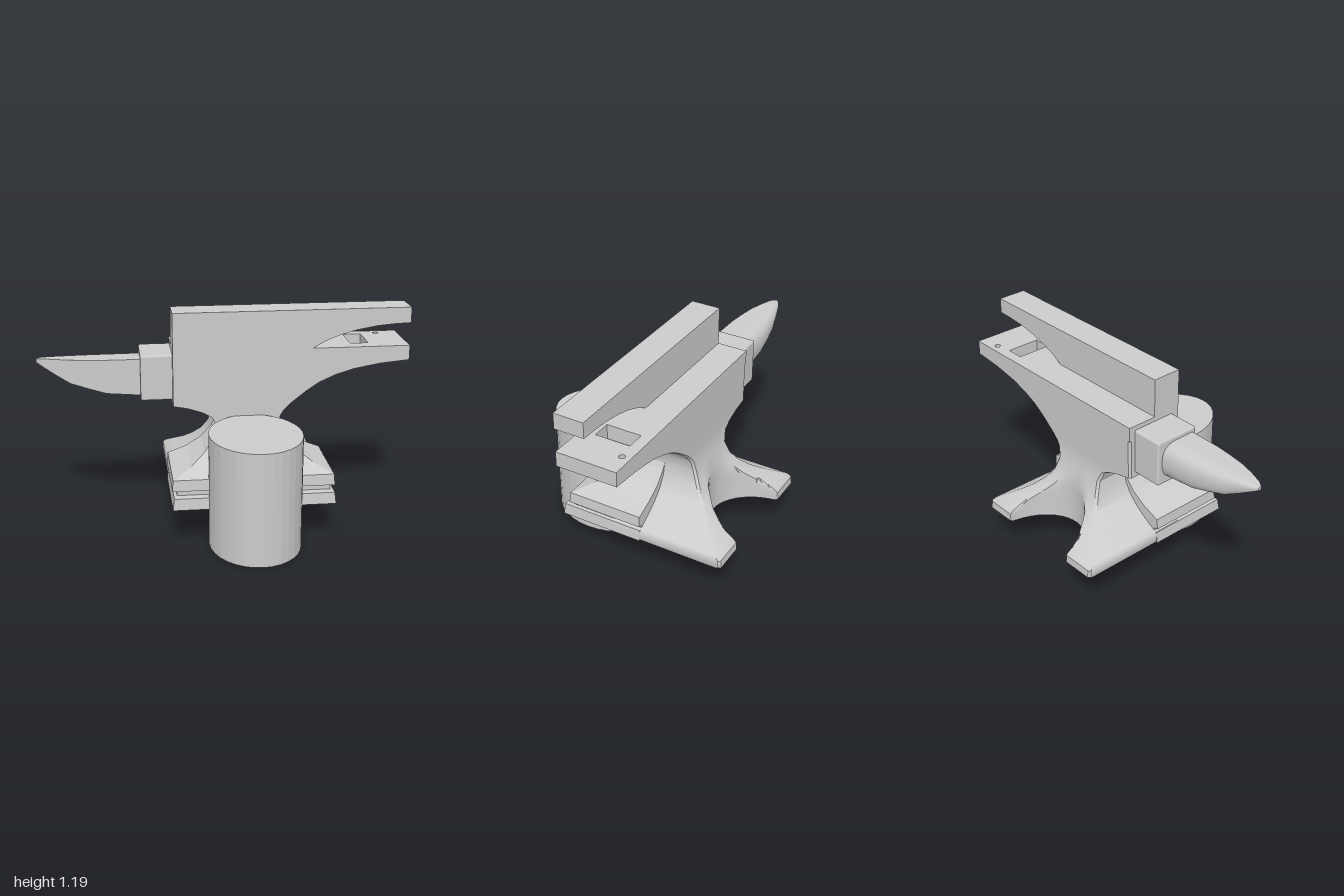
import * as THREE from 'three';
import { toCreasedNormals } from 'three/addons/utils/BufferGeometryUtils.js';
import { RoundedBoxGeometry } from 'three/addons/geometries/RoundedBoxGeometry.js';

const smooth = new THREE.MeshStandardMaterial({ color: 0xcccccc });
const faceted = new THREE.MeshStandardMaterial({ color: 0xcccccc, flatShading: true });

function part(name, geometry, material = smooth) {
  const mesh = new THREE.Mesh(geometry, material);
  mesh.name = name;
  return mesh;
}

// Skin rings of points, counter-clockwise about the loft direction, and cap both ends
function loft(rings, flatten, crease = 0.6) {
  const n = rings[0].length, index = [];
  for (let r = 0; r < rings.length - 1; r++) {
    for (let i = 0; i < n; i++) {
      const j = (i + 1) % n, a = r * n, b = a + n;
      index.push(a + i, a + j, b + j, a + i, b + j, b + i);
    }
  }
  const last = (rings.length - 1) * n;
  const cap = (ring) => THREE.ShapeUtils.triangulateShape(ring.map(flatten), []);
  cap(rings[0]).forEach(([a, b, c]) => index.push(a, c, b));
  cap(rings[rings.length - 1]).forEach(([a, b, c]) => index.push(last + a, last + b, last + c));
  const geometry = new THREE.BufferGeometry();
  geometry.setAttribute('position', new THREE.Float32BufferAttribute(rings.flat(2), 3));
  geometry.setIndex(index);
  return toCreasedNormals(geometry, crease);
}
const fromAbove = ([x, , z]) => new THREE.Vector2(x, -z);
const fromEnd = ([, y, z]) => new THREE.Vector2(y, z);

// Back foot, waist and underside of the heel, with an elliptical bite in the foot
function bodyGeometry() {
  const levels = [ // y, left x, right x, back z
    [0.21, -0.3, 0.545, -0.6], [0.22, -0.305, 0.55, -0.615], [0.26, -0.305, 0.55, -0.61],
    [0.275, -0.295, 0.54, -0.595], [0.3, -0.25, 0.495, -0.55], [0.33, -0.2, 0.445, -0.495],
    [0.37, -0.145, 0.39, -0.44], [0.42, -0.095, 0.34, -0.39], [0.48, -0.06, 0.305, -0.35],
    [0.55, -0.045, 0.29, -0.323], [0.61, -0.07, 0.3, -0.313], [0.64, -0.125, 0.32, -0.31],
    [0.665, -0.2, 0.345, -0.31], [0.68, -0.28, 0.36, -0.31], [0.74, -0.28, 0.435, -0.31],
    [0.79, -0.28, 0.51, -0.31], [0.83, -0.28, 0.6, -0.31], [0.86, -0.28, 0.7, -0.31],
    [0.885, -0.28, 0.84, -0.31], [0.9, -0.28, 1, -0.31],
  ];
  const bite = (x) => {
    const u = (x - 0.125) / 0.245;
    return Math.abs(u) < 1 ? -0.65 + 0.305 * Math.sqrt(1 - u * u) : -9;
  };
  const rings = levels.map(([y, xl, xr, zb]) => {
    const inset = 0.12 * (xr - xl), r = 0.012;
    const a = Math.max(-0.12, xl + inset), b = Math.min(0.37, xr - inset);
    const ring = [[xl, y, 0.02], [xr, y, 0.02], [xr, y, zb + r], [xr - r, y, zb]];
    for (let i = 0; i <= 24; i++) {
      const x = (a + b) / 2 + (b - a) / 2 * Math.cos(Math.PI * i / 24);
      ring.push([x, y, Math.max(zb, bite(x))]);
    }
    ring.push([xl + r, y, zb], [xl, y, zb + r]);
    return ring;
  });
  return loft(rings, fromAbove);
}

// Stepped front foot with a concave pyramid above
function frontFootGeometry() {
  const levels = [ // y, left x, right x, front z
    [0.21, -0.31, 0.555, 0.328], [0.272, -0.302, 0.548, 0.322], [0.275, -0.285, 0.53, 0.28],
    [0.297, -0.285, 0.53, 0.28], [0.3, -0.31, 0.555, 0.288], [0.36, -0.305, 0.55, 0.283],
    [0.4, -0.2, 0.45, 0.19], [0.45, -0.12, 0.365, 0.11], [0.51, -0.065, 0.31, 0.05],
    [0.555, -0.04, 0.285, 0.01],
  ];
  return loft(levels.map(([y, xl, xr, zf]) =>
    [[xl, y, zf], [xr, y, zf], [xr, y, -0.143], [xl, y, -0.143]]), fromAbove, 0.1);
}

// Tapering horn: rounded behind, flat in front
function hornGeometry() {
  const sections = [ // x, bottom y, top y, front depth, back depth
    [-1, 0.905, 0.925, 0.006, 0.012], [-0.97, 0.888, 0.929, 0.025, 0.03],
    [-0.9, 0.845, 0.93, 0.05, 0.05], [-0.82, 0.8, 0.93, 0.073, 0.07],
    [-0.72, 0.77, 0.93, 0.088, 0.087], [-0.63, 0.745, 0.93, 0.097, 0.096],
    [-0.44, 0.73, 0.93, 0.1, 0.105],
  ];
  const bend = (v) => Math.sign(v) * Math.pow(Math.abs(v), 0.75);
  return loft(sections.map(([x, y0, y1, zf, zb]) => {
    const ring = [[x, y1, -0.145 + zf], [x, y0, -0.145 + zf]];
    for (let i = 0; i <= 12; i++) {
      const t = Math.PI * i / 12;
      ring.push([x, (y0 + y1) / 2 - (y1 - y0) / 2 * bend(Math.cos(t)), -0.145 - zb * bend(Math.sin(t))]);
    }
    return ring;
  }), fromEnd);
}

const rectangle = (Kind, x0, y0, x1, y1) =>
  new Kind([[x0, y0], [x1, y0], [x1, y1], [x0, y1]].map(([x, y]) => new THREE.Vector2(x, y)));

// Face slab with the square and round tool holes
function faceGeometry() {
  const slab = rectangle(THREE.Shape, -0.28, -0.02, 1, 0.31);
  slab.holes.push(rectangle(THREE.Path, 0.69, 0.06, 0.79, 0.25));
  slab.holes.push(new THREE.Path().absarc(0.88, 0.265, 0.016, 0, Math.PI * 2, true));
  return new THREE.ExtrudeGeometry(slab, { depth: 0.08, bevelEnabled: false, curveSegments: 12 })
    .rotateX(-Math.PI / 2).translate(0, 0.9, 0);
}

// Raised half of the face, arched clear of the heel
function upperBarGeometry() {
  const outline = [[-0.28, 0.98], [0.47, 0.98], [0.54, 1.018], [0.62, 1.05], [0.71, 1.075],
    [0.82, 1.094], [0.92, 1.102], [1, 1.105], [1, 1.19], [-0.28, 1.19]];
  const shape = new THREE.Shape(outline.map(([x, y]) => new THREE.Vector2(x, y)));
  return new THREE.ExtrudeGeometry(shape, { depth: 0.163, bevelEnabled: false }).translate(0, 0, -0.143);
}

export function createModel() {
  const model = new THREE.Group();
  model.name = 'anvil';
  model.add(part('body', bodyGeometry()));
  model.add(part('frontFoot', frontFootGeometry(), faceted));
  model.add(part('face', faceGeometry()));
  model.add(part('upperBar', upperBarGeometry(), faceted));
  model.add(part('horn', hornGeometry()));
  const collar = part('hornCollar', new RoundedBoxGeometry(0.19, 0.25, 0.255, 3, 0.012));
  collar.position.set(-0.355, 0.83, -0.148);
  model.add(collar);
  // Oval post standing in front
  const post = part('post', new THREE.CylinderGeometry(1, 1, 0.615, 32), faceted);
  post.scale.set(0.245, 1, 0.305);
  post.position.set(0.125, 0.3075, 0.31);
  model.add(post);
  return model;
}
